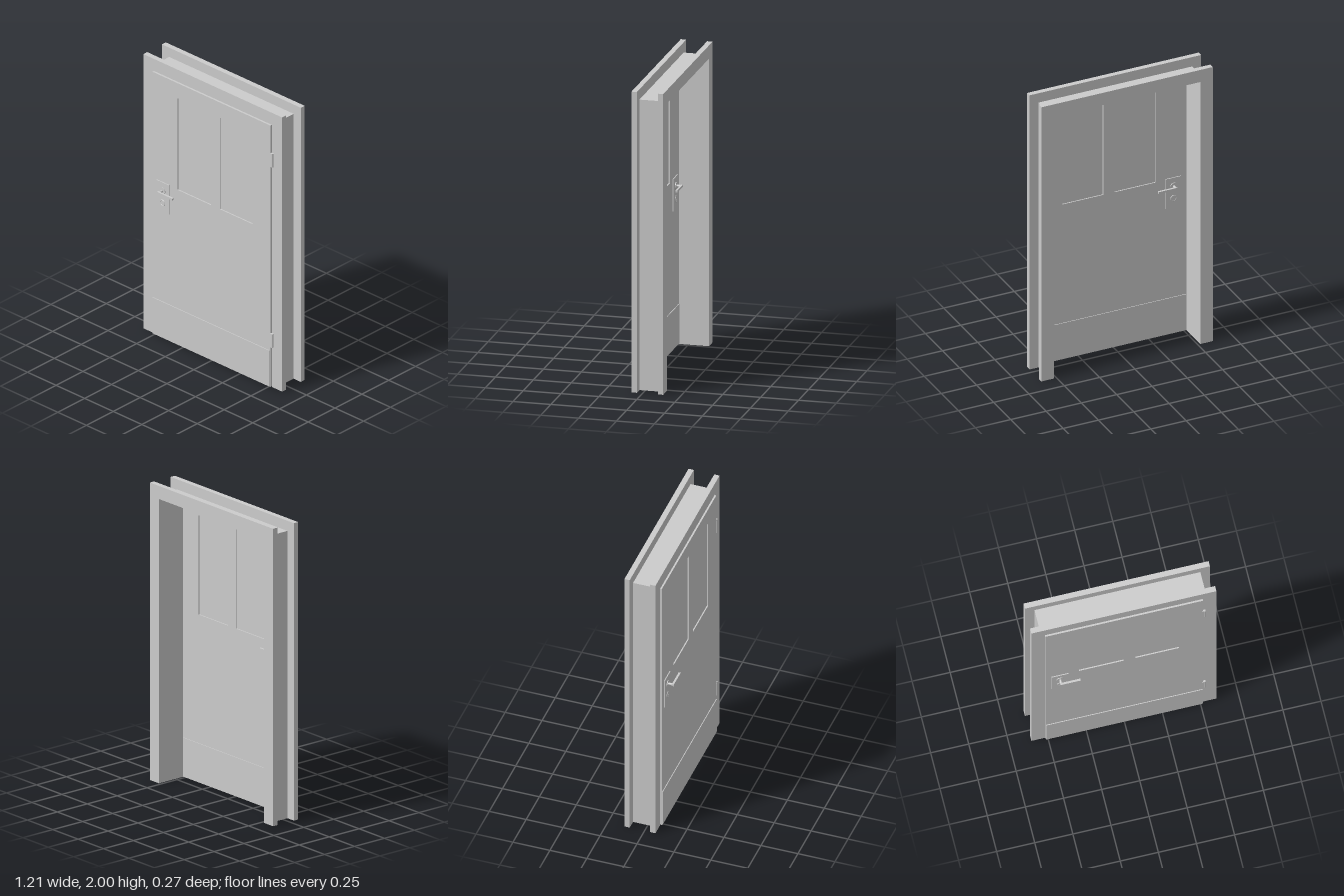
import * as THREE from 'three';

const mat = new THREE.MeshStandardMaterial({ color: 0xcccccc });

function add(parent, name, geo, x = 0, y = 0, z = 0) {
  const m = new THREE.Mesh(geo, mat);
  m.name = name;
  m.position.set(x, y, z);
  parent.add(m);
  return m;
}

// Box given by its limits on each axis
function block(parent, name, x0, x1, y0, y1, z0, z1) {
  return add(parent, name, new THREE.BoxGeometry(x1 - x0, y1 - y0, z1 - z0),
    (x0 + x1) / 2, (y0 + y1) / 2, (z0 + z1) / 2);
}

// Three-sided surround, open at the floor
function surround(parent, name, outX, outY, inX, inY, z0, z1) {
  const s = new THREE.Shape([
    [-outX, 0], [-inX, 0], [-inX, inY], [inX, inY],
    [inX, 0], [outX, 0], [outX, outY], [-outX, outY],
  ].map(([x, y]) => new THREE.Vector2(x, y)));
  return add(parent, name,
    new THREE.ExtrudeGeometry(s, { depth: z1 - z0, bevelEnabled: false }), 0, 0, z0);
}

// Cylinder whose axis runs along z
function disc(parent, name, r, z0, z1, x, y, sides = 24) {
  const g = new THREE.CylinderGeometry(r, r, z1 - z0, sides).rotateX(Math.PI / 2);
  return add(parent, name, g, x, y, (z0 + z1) / 2);
}

const IN_X = 0.518, IN_TOP = 1.912;   // clear opening
const LEAF_BACK = 0.063, LEAF_FRONT = 0.085;
const HALF = (LEAF_FRONT - LEAF_BACK) / 2;
const MID = (LEAF_FRONT + LEAF_BACK) / 2;

function doorLeaf() {
  const g = new THREE.Group();
  g.name = 'doorLeaf';
  const s = new THREE.Shape([
    [-0.517, 0.004], [0.515, 0.004], [0.515, 1.91], [-0.517, 1.91],
  ].map(([x, y]) => new THREE.Vector2(x, y)));
  // Two window openings, each with a recessed pane
  for (const [x0, x1] of [[-0.297, -0.005], [0.073, 0.36]]) {
    s.holes.push(new THREE.Path([
      [x0, 1.132], [x0, 1.8], [x1, 1.8], [x1, 1.132],
    ].map(([x, y]) => new THREE.Vector2(x, y))));
    block(g, 'windowPane', x0, x1, 1.132, 1.8, MID - 0.003, MID + 0.003);
  }
  add(g, 'leafPanel',
    new THREE.ExtrudeGeometry(s, { depth: 2 * HALF, bevelEnabled: false }), 0, 0, LEAF_BACK);
  // Kick plates on both faces
  block(g, 'kickPlateFront', -0.513, 0.511, 0.006, 0.268, LEAF_FRONT, LEAF_FRONT + 0.005);
  block(g, 'kickPlateBack', -0.513, 0.511, 0.006, 0.268, LEAF_BACK - 0.005, LEAF_BACK);
  return g;
}

// Handle set on one face; side is +1 for the front and -1 for the back
function handleSet(side) {
  const g = new THREE.Group();
  g.name = side > 0 ? 'handleSetFront' : 'handleSetBack';
  const cx = -0.422, handleY = 1.08, lockY = 0.992;
  const span = (a, b) => {
    const p = MID + side * (HALF + a), q = MID + side * (HALF + b);
    return [Math.min(p, q), Math.max(p, q)];
  };
  block(g, 'backPlate', -0.477, -0.367, 0.925, 1.14, ...span(0, 0.006));
  disc(g, 'handleCollar', 0.024, ...span(0.006, 0.011), cx, handleY);
  disc(g, 'handleNeck', 0.008, ...span(0.011, 0.04), cx, handleY, 16);
  // Lever pointing away from the lock edge
  block(g, 'lever', -0.43, -0.297, handleY - 0.007, handleY + 0.007, ...span(0.036, 0.05));
  // Lock cylinder, ring and key slot
  disc(g, 'lockCylinder', 0.018, ...span(0.006, 0.008), cx, lockY);
  add(g, 'lockRing', new THREE.TorusGeometry(0.019, 0.004, 8, 28),
    cx, lockY, MID + side * (HALF + 0.006));
  block(g, 'keySlot', cx - 0.002, cx + 0.002, lockY - 0.009, lockY + 0.009, ...span(0.008, 0.009));
  return g;
}

function hinge(y) {
  const g = new THREE.Group();
  g.name = 'hinge';
  add(g, 'hingeBarrel', new THREE.CylinderGeometry(0.008, 0.008, 0.1, 16), 0.527, y, 0.081);
  block(g, 'hingeLeaf', 0.51, 0.527, y - 0.05, y + 0.05, 0.077, 0.087);
  return g;
}

export function createModel() {
  const root = new THREE.Group();
  root.name = 'framedDoor';
  // Wall lining with a casing on each side
  const frame = new THREE.Group();
  frame.name = 'doorFrame';
  surround(frame, 'jambLining', 0.544, 1.932, IN_X, IN_TOP, -0.1, 0.04);
  surround(frame, 'casingFront', 0.607, 2, IN_X, IN_TOP, 0.038, 0.074);
  surround(frame, 'casingBack', 0.607, 2, IN_X, IN_TOP, -0.136, -0.1);
  root.add(frame, doorLeaf(), handleSet(1), handleSet(-1), hinge(1.66), hinge(0.345));
  return root;
}
